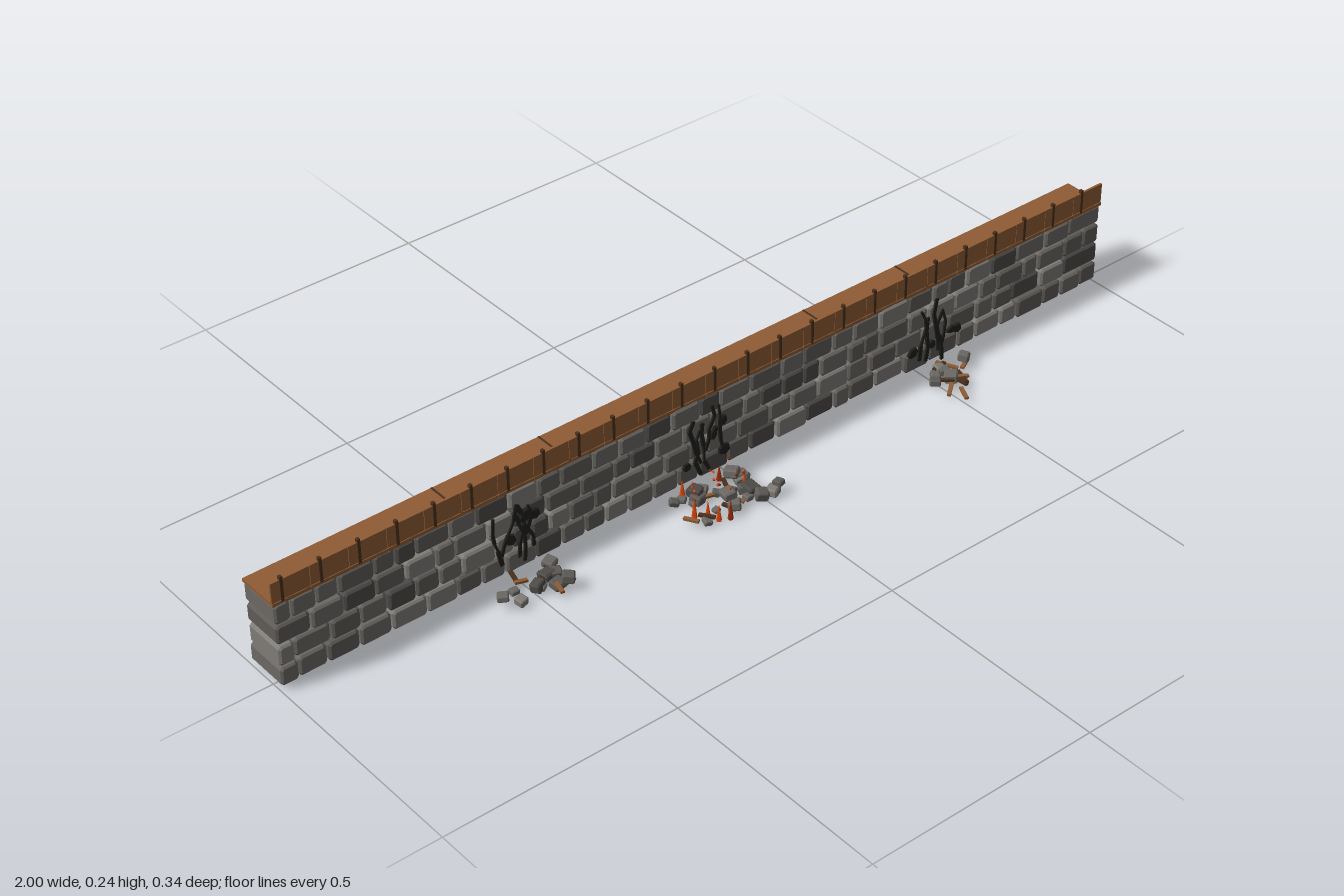
import * as THREE from 'three';

const mat = (name, color, extra = {}) => {
  const m = new THREE.MeshStandardMaterial({ color, flatShading: true, ...extra });
  m.name = name;
  return m;
};

export function createModel() {
  const root = new THREE.Group();
  root.name = 'damagedStoneWall';
  const stones = [
    mat('darkStone', 0x4d4b48), mat('midStone', 0x5e5b57),
    mat('greyStone', 0x6b6864), mat('paleStone', 0x7f7c77),
  ];
  const wood = mat('wood', 0x8f5c34), darkWood = mat('darkWood', 0x4a301c);
  const soot = mat('soot', 0x1f1f1b);
  const flame = mat('flame', 0xe0480c), ember = mat('ember', 0x9a2c0c);

  let seed = 7;
  const rnd = (a = 0, b = 1) => {
    seed = (seed * 16807) % 2147483647;
    return a + (b - a) * (seed / 2147483647);
  };
  const group = (name) => {
    const g = new THREE.Group();
    g.name = name;
    root.add(g);
    return g;
  };
  const add = (parent, name, geo, material, x, y, z) => {
    const m = new THREE.Mesh(geo, material);
    m.name = name;
    m.position.set(x, y, z);
    parent.add(m);
    return m;
  };
  const box = (parent, name, material, w, h, d, x, y, z) =>
    add(parent, name, new THREE.BoxGeometry(w, h, d), material, x, y, z);

  // Stone block with clipped corners and bevelled faces
  const stoneGeo = (w, h, d, b) => {
    const X = w / 2 - b, Y = h / 2 - b, c = b * 0.8;
    const pts = [[-X + c, -Y], [X - c, -Y], [X, -Y + c], [X, Y - c],
      [X - c, Y], [-X + c, Y], [-X, Y - c], [-X, -Y + c]];
    const shape = new THREE.Shape(pts.map(([x, y]) => new THREE.Vector2(x, y)));
    const g = new THREE.ExtrudeGeometry(shape, {
      depth: d - 2 * b, bevelEnabled: true, bevelSegments: 1, bevelSize: b, bevelThickness: b,
    });
    return g.translate(0, 0, -(d - 2 * b) / 2);
  };
  const anyStone = () => stones[[0, 1, 1, 2, 2, 2, 3][Math.floor(rnd(0, 6.99))]];

  // Four courses of blocks running through the whole thickness
  const wall = group('wall');
  for (let row = 0; row < 4; row++) {
    let x = -1;
    while (x < 0.999) {
      let w = rnd(0.04, 0.08);
      if (x === -1 && row % 2) w = 0.035;
      if (1 - x - w < 0.035) w = 1 - x;
      const front = rnd(0.023, 0.029), back = rnd(-0.072, -0.067);
      const h = rnd(0.04, 0.044);
      add(wall, 'wallStone', stoneGeo(w - 0.003, h, front - back, 0.004), anyStone(),
        x + w / 2, 0.03 + row * 0.0455, (front + back) / 2);
      x += w;
    }
  }

  // Wooden walkway with cross joints
  const walkway = group('walkway');
  const N = 25, step = 2 / N;
  for (let i = 0; i < N; i++) {
    box(walkway, 'walkwayPlank', wood, step - 0.0007, 0.007, 0.094, -1 + (i + 0.5) * step, 0.1895, -0.0225);
  }
  for (const x of [-0.6, -0.36, 0.28, 0.52]) {
    box(walkway, 'walkwayJoint', darkWood, 0.004, 0.001, 0.094, x, 0.1934, -0.0225);
  }

  // Parapet boards and posts along the front edge
  const parapet = group('parapet');
  for (let i = 0; i < N; i++) {
    const x = -1 + (i + 0.5) * step;
    box(parapet, 'parapetBoard', wood, step - 0.001, 0.045, 0.005, x, 0.2135, 0.0205);
    box(parapet, 'parapetPost', darkWood, 0.006, 0.053, 0.007, x - step / 2 + 0.022, 0.2165, 0.0212);
  }

  // Impact damage: jagged soot cracks and blackened patches on both faces
  const damage = group('damage');
  for (const cx of [-0.5, -0.05, 0.54]) {
    for (const z of [0.0295, -0.0725]) {
      for (let k = 0; k < 5; k++) {
        let x = cx + rnd(-0.04, 0.04), y = rnd(0.12, 0.175);
        for (let s = 0; s < 4 && y > 0.035; s++) {
          const len = rnd(0.02, 0.038), a = rnd(-0.5, 0.5);
          const c = box(damage, 'crack', soot, rnd(0.004, 0.009), len, 0.004,
            x + Math.sin(a) * len / 2, y - Math.cos(a) * len / 2, z);
          c.rotation.z = a;
          x += Math.sin(a) * len;
          y -= Math.cos(a) * len;
        }
      }
      for (let k = 0; k < 4; k++) {
        const p = add(damage, 'sootPatch', new THREE.CylinderGeometry(0.012, 0.014, 0.005, 6), soot,
          cx + rnd(-0.07, 0.07), rnd(0.05, 0.13), z);
        p.rotation.set(Math.PI / 2, rnd(0, 3), 0);
        p.scale.set(rnd(0.7, 1.3), 1, rnd(0.6, 1));
      }
    }
  }

  // Rubble heaps: [x0, x1, z0, z1, stones, sticks]
  const rubble = group('rubble');
  const heaps = [
    [-0.57, -0.43, 0.045, 0.125, 10, 6],
    [-0.16, 0.04, 0.055, 0.15, 22, 7],
    [0.49, 0.6, 0.045, 0.12, 7, 8],
    [-0.16, 0.02, -0.15, -0.09, 8, 5],
    [0.5, 0.56, -0.12, -0.085, 4, 2],
  ];
  const stick = (x, y, z, len, yaw, material) => {
    const s = box(rubble, 'brokenPlank', material, len, 0.005, 0.008, x, y, z);
    s.rotation.set(0, yaw, rnd(-0.12, 0.12));
  };
  for (const [x0, x1, z0, z1, n, m] of heaps) {
    for (let i = 0; i < n; i++) {
      const s = rnd(0.014, 0.03), h = s * rnd(0.6, 0.85);
      const lift = i % 5 === 4 ? 0.018 : 0.003;
      const r = add(rubble, 'rubbleStone', stoneGeo(s, h, s * rnd(0.8, 1.1), s * 0.1), anyStone(),
        rnd(x0, x1), h / 2 + lift, rnd(z0, z1));
      r.rotation.set(rnd(-0.2, 0.2), rnd(0, 3), rnd(-0.2, 0.2));
    }
    for (let i = 0; i < m; i++) {
      stick(rnd(x0, x1), rnd(0.008, 0.016), rnd(z0, z1), rnd(0.025, 0.05), rnd(0, 3), i % 2 ? wood : darkWood);
    }
  }
  stick(-0.46, 0.02, -0.125, 0.028, 1, darkWood);
  stick(0.105, 0.012, -0.14, 0.03, 1.3, wood);
  stick(-0.13, 0.028, -0.155, 0.04, 0.8, darkWood);
  stick(0.51, 0.012, 0.15, 0.04, 1.1, wood);

  // Small fires with drifting embers: [x, z, height, radius]
  const fire = group('fire');
  const fires = [[-0.12, 0.05, 0.045, 0.007], [-0.1, 0.055, 0.035, 0.006], [-0.03, 0.05, 0.036, 0.006],
    [-0.14, 0.11, 0.05, 0.006], [-0.12, 0.125, 0.04, 0.006], [-0.09, 0.155, 0.045, 0.006],
    [-0.11, 0.145, 0.038, 0.006], [-0.01, 0.1, 0.045, 0.005]];
  fires.forEach(([x, z, h, r], i) => {
    add(fire, 'flame', new THREE.ConeGeometry(r, h, 5), i % 3 === 2 ? ember : flame, x, h / 2 + 0.003, z);
  });
  for (let i = 0; i < 11; i++) {
    const e = box(fire, 'ember', i % 2 ? ember : flame, 0.004, 0.004, 0.004,
      rnd(-0.15, 0), rnd(0.05, 0.09), rnd(0.07, 0.155));
    e.rotation.set(rnd(0, 3), rnd(0, 3), 0);
  }
  return root;
}
